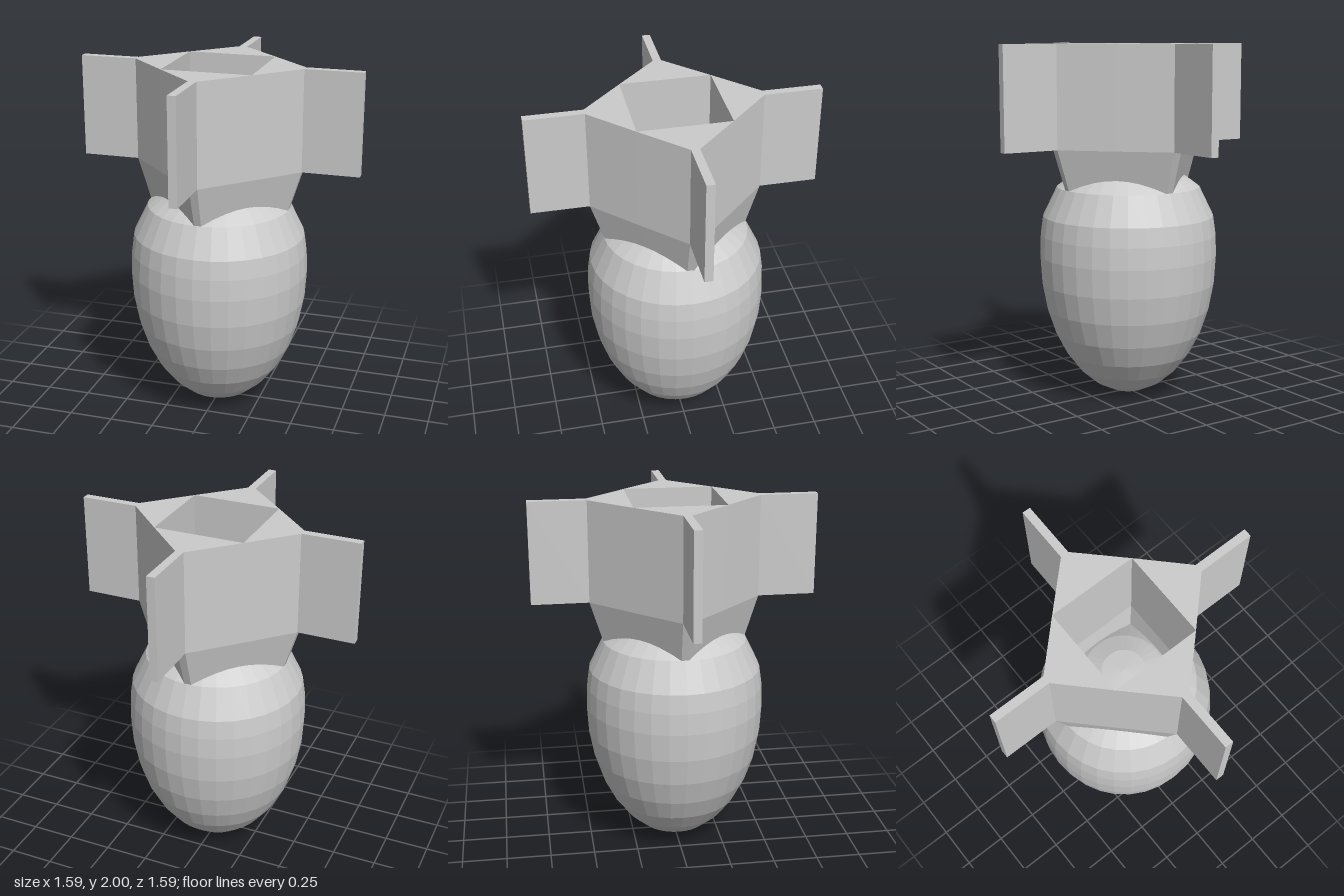
import * as THREE from 'three';

const material = new THREE.MeshStandardMaterial({ color: 0xcccccc, flatShading: true });

// Extrudes an outline upward from y0 to y1
function prism(outline, y0, y1) {
  const shape = new THREE.Shape(outline.map(([x, y]) => new THREE.Vector2(x, y)));
  const geometry = new THREE.ExtrudeGeometry(shape, { depth: y1 - y0, bevelEnabled: false });
  geometry.rotateX(-Math.PI / 2);
  geometry.translate(0, y0, 0);
  return geometry;
}

function addMesh(parent, geometry, name) {
  const mesh = new THREE.Mesh(geometry, material);
  mesh.name = name;
  parent.add(mesh);
  return mesh;
}

export function createModel() {
  const model = new THREE.Group();
  model.name = 'finnedBomb';

  // Egg-shaped body: elliptical nose below, flatter shoulder above
  const radius = 0.505, noseHeight = 0.81;
  const profile = [];
  for (let i = 0; i <= 8; i++) {
    const a = (i / 8) * Math.PI / 2;
    profile.push(new THREE.Vector2(radius * Math.sin(a), noseHeight * (1 - Math.cos(a))));
  }
  const shoulder = [[0.5, 0.93], [0.485, 1.035], [0.405, 1.2], [0.31, 1.27], [0.22, 1.325], [0.12, 1.36], [0, 1.37]];
  shoulder.forEach(([r, y]) => profile.push(new THREE.Vector2(r, y)));
  addMesh(model, new THREE.LatheGeometry(profile, 32), 'body');

  // Tail: four wedge-shaped quarters around a square opening, each with a fin
  const inner = 0.25, outer = 0.475, tip = 0.795, half = 0.023;
  const bottom = 1.1, bend = 1.43, top = 2;
  const finGeometry = prism([
    [-inner, inner], [inner, inner], [half, outer], [half, tip], [-half, tip], [-half, outer],
  ], bend, top);

  // Skirt under each quarter tapers toward the axis
  const skirtGeometry = prism([[-inner, inner], [inner, inner], [half, outer], [-half, outer]], bottom, bend);
  const p = skirtGeometry.attributes.position;
  for (let i = 0; i < p.count; i++) {
    const s = 1 - 0.66 * (bend - p.getY(i));
    p.setXYZ(i, p.getX(i) * s, p.getY(i), p.getZ(i) * s);
  }
  skirtGeometry.computeVertexNormals();

  for (let i = 0; i < 4; i++) {
    const quarter = new THREE.Group();
    quarter.name = 'tailQuarter' + (i + 1);
    addMesh(quarter, finGeometry, 'fin');
    addMesh(quarter, skirtGeometry, 'tailSkirt');
    quarter.rotation.y = i * Math.PI / 2;
    model.add(quarter);
  }
  return model;
}
